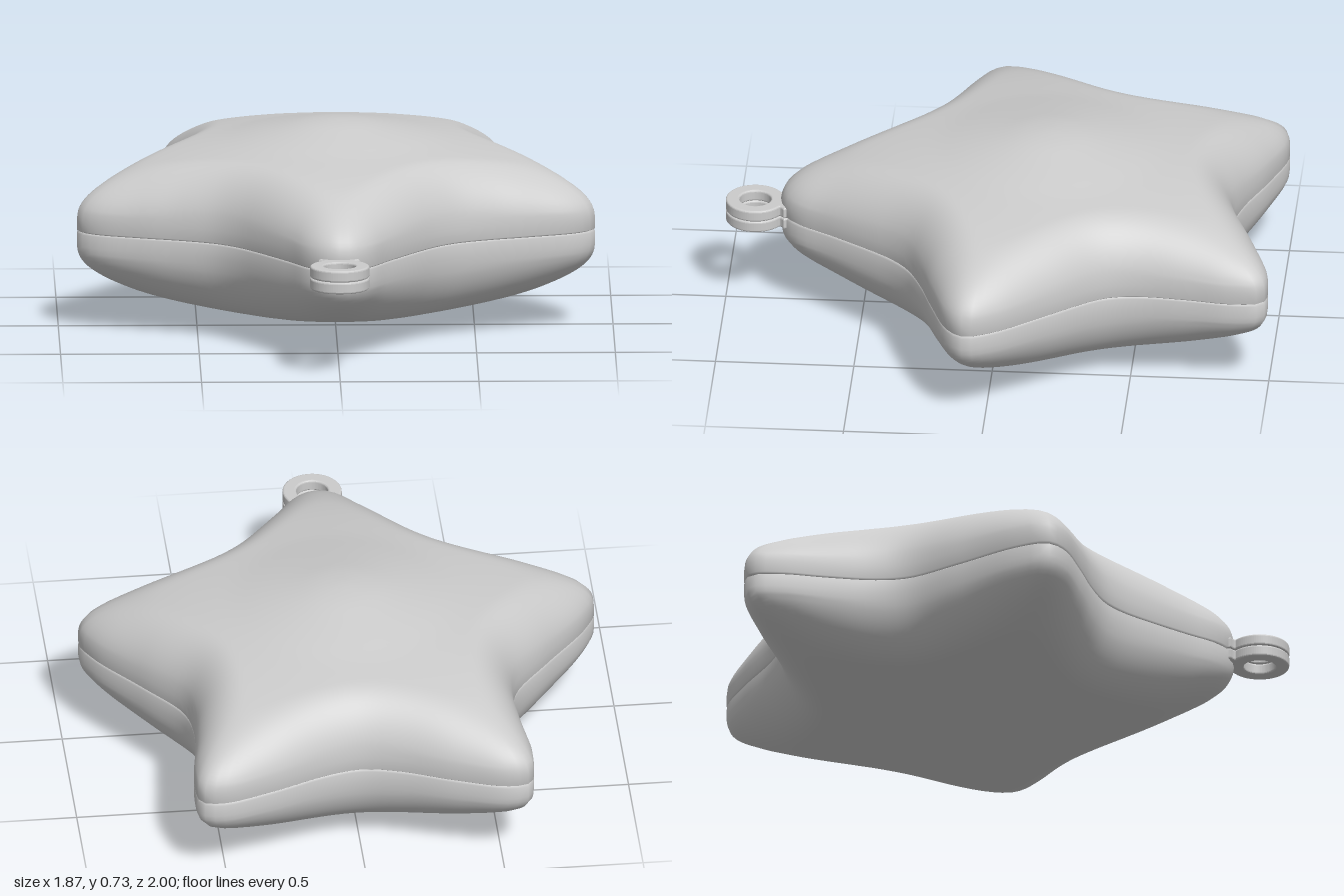
import * as THREE from 'three';

const SEAM = 0.367;     // height of the seam plane
const CENTRE_Z = -0.17; // middle of the star
const EDGE = 0.05;      // half height of the rim
const ROUND = 0.17;     // width of the rounded border

// Right half of the star outline [x, z], front tip to back notch
const HALF = [
  [0, 0.8], [0.06, 0.783], [0.115, 0.735], [0.18, 0.63], [0.31, 0.44], [0.365, 0.373], [0.44, 0.31],
  [0.56, 0.255], [0.71, 0.205], [0.885, 0.135], [0.935, 0.075], [0.895, -0.03], [0.735, -0.235],
  [0.605, -0.41], [0.58, -0.53], [0.592, -0.71], [0.613, -0.88], [0.597, -0.982], [0.52, -0.999],
  [0.34, -0.945], [0.13, -0.862], [0, -0.836],
];

// Dome height above the seam at every 0.1 from the centre
const DOME = new THREE.SplineCurve(
  [0.363, 0.356, 0.338, 0.318, 0.297, 0.28, 0.262, 0.24, 0.213, 0.185, 0.16, 0.14]
    .map((h, i) => new THREE.Vector2(i / 10, h)));

// Evenly spaced outline points, relative to the centre
const SAMPLES = 840;
function outlinePoints() {
  const left = HALF.slice(1, -1).reverse().map(([x, z]) => [-x, z]);
  const pts = [...HALF, ...left].map(([x, z]) => new THREE.Vector3(x, 0, z - CENTRE_Z));
  const curve = new THREE.CatmullRomCurve3(pts, true, 'centripetal');
  curve.arcLengthDivisions = 2000;
  return { points: curve.getSpacedPoints(SAMPLES).slice(0, SAMPLES), step: curve.getLength() / SAMPLES };
}

// Height of the surface: the dome, rounded off by a smooth distance to the outline
function heightAt(x, z, outline) {
  let sum = 0;
  for (const p of outline.points) sum += 1 / ((p.x - x) ** 2 + (p.z - z) ** 2) ** 2;
  const d = Math.cbrt(Math.PI / (2 * outline.step * sum));
  const rounding = Math.sqrt(1 - (1 - Math.min(d / ROUND, 1)) ** 2);
  return EDGE + (DOME.getPoint(Math.hypot(x, z) / 1.1).y - EDGE) * rounding;
}

// Upper half of the star: rings from the centre to the rim, then into the seam groove
function shellGeometry() {
  const outline = outlinePoints();
  const rim = outline.points.filter((_, i) => i % 5 === 0);
  const N = rim.length, RINGS = 36;
  const pos = [0, DOME.getPoint(0).y, 0];
  const idx = [];
  for (let r = 1; r < RINGS; r++) {
    const t = 1 - (1 - r / RINGS) ** 1.6;
    for (const p of rim) pos.push(p.x * t, heightAt(p.x * t, p.z * t, outline), p.z * t);
  }
  for (const [t, y] of [[1, EDGE], [1, 0.006], [0.988, 0]]) {
    for (const p of rim) pos.push(p.x * t, y, p.z * t);
  }
  for (let r = 0; r < RINGS + 2; r++) {
    for (let i = 0; i < N; i++) {
      const a = 1 + r * N + i, b = 1 + r * N + (i + 1) % N;
      if (r === 0) idx.push(0, a, b);
      else idx.push(a - N, a, b, a - N, b, b - N);
    }
  }
  const g = new THREE.BufferGeometry();
  g.setAttribute('position', new THREE.Float32BufferAttribute(pos, 3));
  g.setIndex(idx);
  g.computeVertexNormals();
  return g;
}

// Flat eyelet with a flared neck, drawn in x and z
function eyeletGeometry() {
  const cz = 0.893, R = 0.1, a = 0.6;
  const s = new THREE.Shape();
  s.moveTo(-0.05, 0.73);
  s.lineTo(-0.066, 0.783);
  s.quadraticCurveTo(-0.042, 0.8, -R * Math.sin(a), cz - R * Math.cos(a));
  s.absarc(0, cz, R, -Math.PI / 2 - a, -Math.PI / 2 + a - Math.PI * 2, true);
  s.quadraticCurveTo(0.042, 0.8, 0.066, 0.783);
  s.lineTo(0.05, 0.73);
  s.closePath();
  const hole = new THREE.Path();
  hole.absarc(0, cz, 0.064, 0, Math.PI * 2, false);
  s.holes.push(hole);
  const g = new THREE.ExtrudeGeometry(s, {
    depth: 0.028, bevelEnabled: true, bevelSize: 0.007, bevelThickness: 0.007, bevelSegments: 3, curveSegments: 32,
  });
  g.rotateX(Math.PI / 2); // shape y becomes z, depth points down
  return g;
}

export function createModel() {
  const group = new THREE.Group();
  const material = new THREE.MeshStandardMaterial({ color: 0xcccccc, side: THREE.DoubleSide });
  const add = (name, geometry, y, z = 0) => {
    const mesh = new THREE.Mesh(geometry, material);
    mesh.name = name;
    mesh.position.set(0, y, z);
    group.add(mesh);
    return mesh;
  };

  // Two puffed halves; the lower one is the upper turned over
  const shell = shellGeometry();
  add('upperShell', shell, SEAM, CENTRE_Z);
  add('lowerShell', shell, SEAM, CENTRE_Z).scale.y = -1;

  // Eyelet in two halves that meet at the seam
  const eyelet = eyeletGeometry();
  add('upperEyelet', eyelet, SEAM + 0.036);
  add('lowerEyelet', eyelet, SEAM - 0.007);
  return group;
}
